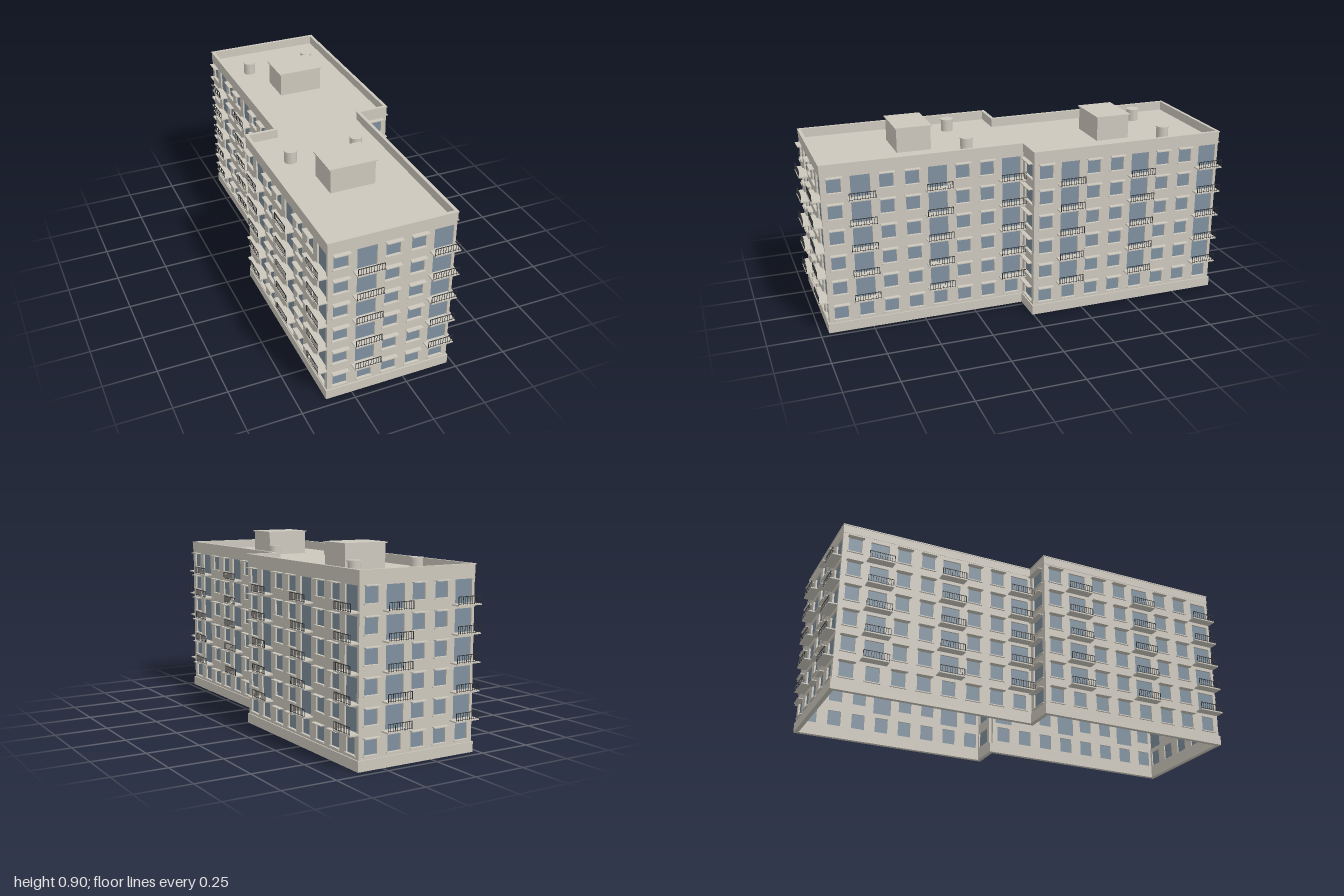
import * as THREE from 'three';
import { mergeGeometries } from 'three/addons/utils/BufferGeometryUtils.js';

const mat = (name, color, side = THREE.FrontSide) => {
  const m = new THREE.MeshStandardMaterial({ color, side });
  m.name = name;
  return m;
};

// Footprint: two slabs, A in front and B behind, shifted sideways
const FAR = 0.367, NEAR = 0.22, L = 0.955;
const WALL_BASE = 0.045, ROOF = 0.778, WALL_T = 0.014;
const FLOORS = 6, FLOOR_H = 0.1245;

function box(w, h, d, x, y, z) {
  return new THREE.BoxGeometry(w, h, d).translate(x, y, z);
}

// Footprint outline, grown outward by o
function outline(o) {
  return [
    [-FAR - o, L + o], [NEAR + o, L + o], [NEAR + o, o], [FAR + o, o],
    [FAR + o, -L - o], [-NEAR - o, -L - o], [-NEAR - o, -o], [-FAR - o, -o],
  ].map(([x, z]) => new THREE.Vector2(x, -z));
}

// Footprint slab, or a ring when an inner offset is given
function footprint(y0, y1, outer, inner) {
  const s = new THREE.Shape(outline(outer));
  if (inner !== undefined) s.holes.push(new THREE.Path(outline(inner)));
  return new THREE.ExtrudeGeometry(s, { depth: y1 - y0, bevelEnabled: false })
    .rotateX(-Math.PI / 2).translate(0, y0, 0);
}

function rect(path, x0, y0, x1, y1) {
  path.moveTo(x0, y0);
  path.lineTo(x1, y0);
  path.lineTo(x1, y1);
  path.lineTo(x0, y1);
  path.closePath();
  return path;
}

export function createModel() {
  const plaster = mat('plaster', 0xcdc8bd);
  const glass = mat('window glass', 0x7e909e, THREE.DoubleSide);
  const iron = mat('dark iron', 0x2f3032);
  const model = new THREE.Group();
  model.name = 'apartmentBlock';

  const add = (parent, name, geometry, material) => {
    const m = new THREE.Mesh(geometry, material);
    m.name = name;
    parent.add(m);
    return m;
  };

  // One facade in its own plane, facing +z, centred on x = 0
  function facade(name, width, bays, x, z, turn, windowW = 0.065) {
    const g = new THREE.Group();
    g.name = name;
    const wall = rect(new THREE.Shape(), -width / 2, WALL_BASE, width / 2, ROOF);
    const panes = [], trims = [], slabs = [], rails = [];
    const bay = width / bays;

    for (let i = 0; i < bays; i++) {
      const cx = -width / 2 + bay * (i + 0.5);
      const balconyBay = i % 3 === 1;
      for (let f = 0; f < FLOORS; f++) {
        const base = 0.062 + f * FLOOR_H, top = base + 0.074;
        const balcony = balconyBay && f > 0;
        const w = balcony ? 0.09 : windowW;
        const bottom = balcony ? base - 0.029 : base;
        wall.holes.push(rect(new THREE.Path(), cx - w / 2, bottom, cx + w / 2, top));
        panes.push(new THREE.PlaneGeometry(w, top - bottom)
          .translate(cx, (top + bottom) / 2, -0.008));

        // Sill and canopy of an ordinary window
        if (!balcony) trims.push(box(w + 0.012, 0.005, 0.014, cx, base - 0.001, 0));
        if (!balconyBay) trims.push(box(w + 0.012, 0.004, 0.022, cx, top + 0.001, 0.011));

        // Balcony slab with a railing along its outer edge
        if (balcony) {
          slabs.push(box(0.125, 0.006, 0.045, cx, bottom - 0.003, 0.0225));
          const railTop = bottom + 0.034;
          rails.push(box(0.121, 0.0025, 0.0025, cx, railTop, 0.0425));
          rails.push(box(0.121, 0.0015, 0.0015, cx, bottom + 0.004, 0.0425));
          for (let k = 0; k <= 10; k++) {
            const t = k % 10 === 0 ? 0.0025 : 0.0016;
            rails.push(box(t, 0.034, t, cx - 0.06 + k * 0.012, bottom + 0.017, 0.0425));
          }
        }
      }
    }
    add(g, 'wall', new THREE.ExtrudeGeometry(wall, { depth: WALL_T, bevelEnabled: false })
      .translate(0, 0, -WALL_T), plaster);
    add(g, 'windowPanes', mergeGeometries(panes), glass);
    add(g, 'sillsAndCanopies', mergeGeometries(trims), plaster);
    if (slabs.length) {
      add(g, 'balconySlabs', mergeGeometries(slabs), plaster);
      add(g, 'balconyRailings', mergeGeometries(rails), iron);
    }
    g.position.set(x, 0, z);
    g.rotation.y = turn;
    model.add(g);
  }

  // Each slab has two long sides, one end and one step; B is A turned half round
  const W = FAR + NEAR, mid = (FAR - NEAR) / 2, step = FAR - NEAR;
  for (const [label, s, turn] of [['front', 1, 0], ['rear', -1, Math.PI]]) {
    facade(label + 'EndFacade', W, 5, -s * mid, s * L, turn);
    facade(label + 'InnerSideFacade', L, 8, s * NEAR, s * L / 2, turn + Math.PI / 2);
    facade(label + 'OuterSideFacade', L, 8, -s * FAR, s * L / 2, turn - Math.PI / 2);
    facade(label + 'StepFacade', step, 1, -s * (NEAR + step / 2), 0, turn + Math.PI, 0.095);

    // Stair house on the roof
    const x = -s * mid, z = s * L / 2;
    add(model, label + 'StairHouse', box(0.215, 0.114, 0.165, x, ROOF + 0.057, z), plaster);
    add(model, label + 'StairHouseRoof', box(0.228, 0.006, 0.176, x, ROOF + 0.117, z), plaster);

    // Roof vents
    for (const v of [-1, 1]) {
      const vent = mergeGeometries([
        new THREE.CylinderGeometry(0.029, 0.029, 0.056, 16).translate(0, 0.028, 0),
        new THREE.CylinderGeometry(0.032, 0.032, 0.005, 16).translate(0, 0.0575, 0),
      ]);
      add(model, label + 'RoofVent', vent, plaster)
        .position.set(x + v * 0.163, ROOF, z - 0.24);
    }
  }

  // Plinth, roof deck, parapet and coping follow the footprint
  add(model, 'plinth', footprint(0, 0.047, 0.006, -WALL_T), plaster);
  add(model, 'roofDeck', footprint(ROOF - 0.006, ROOF, -0.004), plaster);
  add(model, 'parapet', footprint(ROOF, 0.817, 0.0015, -0.01), plaster);
  add(model, 'coping', footprint(0.817, 0.822, 0.004, -0.012), plaster);
  return model;
}
